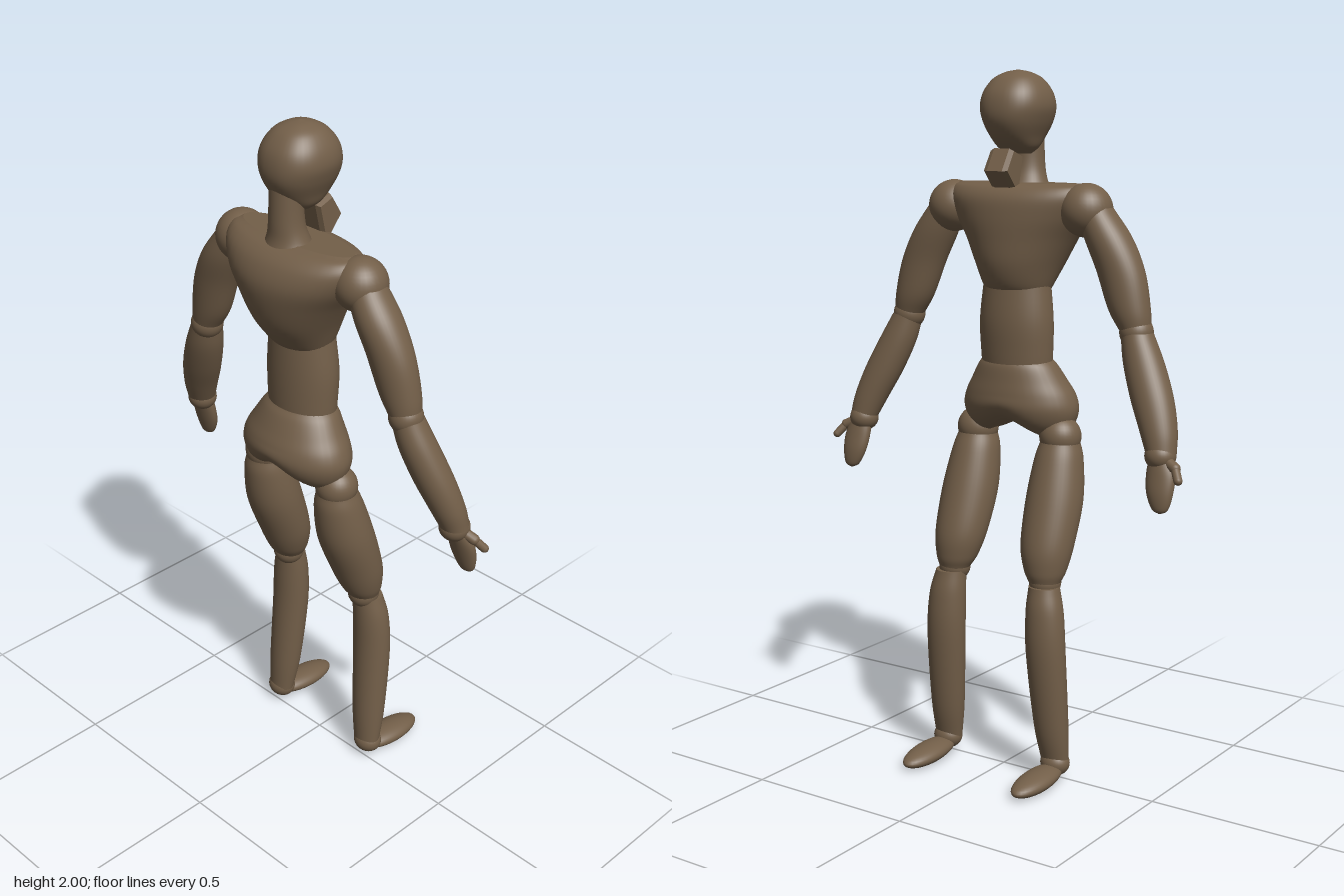
import * as THREE from 'three';

const wood = new THREE.MeshStandardMaterial({ color: 0x735f49 });
wood.name = 'brown wood';

const add = (group, name, geometry) => {
  const mesh = new THREE.Mesh(geometry, wood);
  mesh.name = name;
  group.add(mesh);
  return mesh;
};

// Smooth body through level ellipses, listed upwards as [y, x, z, radiusX, radiusZ]
function loft(rows, power = 2, sides = 40, steps = 6) {
  const curve = (f) => new THREE.CatmullRomCurve3(rows.map(f), false, 'catmullrom');
  const centres = curve(([y, x, z]) => new THREE.Vector3(x, y, z));
  const radii = curve(([, , , rx, rz]) => new THREE.Vector3(rx, 0, rz));
  const n = (rows.length - 1) * steps;
  const pos = [], index = [];
  const ring = (t) => {
    const c = centres.getPoint(t), r = radii.getPoint(t);
    for (let j = 0; j < sides; j++) {
      const a = (j / sides) * Math.PI * 2, u = Math.cos(a), v = Math.sin(a);
      pos.push(
        c.x + r.x * Math.sign(u) * Math.abs(u) ** (2 / power), c.y,
        c.z + r.z * Math.sign(v) * Math.abs(v) ** (2 / power));
    }
  };
  for (let i = 0; i <= n; i++) ring(i / n);
  for (let i = 0; i < n; i++) {
    for (let j = 0; j < sides; j++) {
      const k = (j + 1) % sides, a = i * sides + j, b = i * sides + k;
      index.push(a, a + sides, b, b, a + sides, b + sides);
    }
  }
  // Closed ends with their own vertices
  for (const t of [0, 1]) {
    const start = pos.length / 3;
    ring(t);
    const c = centres.getPoint(t), mid = start + sides;
    pos.push(c.x, c.y, c.z);
    for (let j = 0; j < sides; j++) {
      const a = start + j, b = start + ((j + 1) % sides);
      index.push(mid, t ? b : a, t ? a : b);
    }
  }
  const g = new THREE.BufferGeometry();
  g.setAttribute('position', new THREE.Float32BufferAttribute(pos, 3));
  g.setIndex(index);
  g.computeVertexNormals();
  return g;
}

const ball = (x, y, z, r, ry = r, rz = r) =>
  new THREE.SphereGeometry(1, 32, 20).scale(r, ry, rz).translate(x, y, z);

// Rounded rod between two points
function rod(a, b, r) {
  const d = b.clone().sub(a);
  const g = new THREE.CapsuleGeometry(r, d.length(), 6, 14);
  g.applyQuaternion(new THREE.Quaternion().setFromUnitVectors(
    new THREE.Vector3(0, 1, 0), d.clone().normalize()));
  const m = a.clone().add(b).multiplyScalar(0.5);
  return g.translate(m.x, m.y, m.z);
}

function buildTrunk(root) {
  add(root, 'head', loft([
    [1.772, -0.075, 0, 0.03, 0.035], [1.79, -0.072, 0, 0.055, 0.056],
    [1.82, -0.07, 0, 0.085, 0.07], [1.86, -0.07, 0, 0.106, 0.088],
    [1.90, -0.07, 0, 0.109, 0.098], [1.94, -0.07, 0, 0.098, 0.09],
    [1.975, -0.07, 0, 0.07, 0.066], [1.993, -0.07, 0, 0.036, 0.034],
    [2.0, -0.07, 0, 0.002, 0.002]], 2.3));
  add(root, 'neck', loft([
    [1.66, -0.11, 0, 0.07, 0.08], [1.70, -0.115, 0, 0.053, 0.06],
    [1.75, -0.12, 0, 0.046, 0.049], [1.85, -0.12, 0, 0.044, 0.046]]));

  // Faceted chin block
  const chin = new THREE.Shape([
    [-0.035, 1.765], [-0.018, 1.69], [0, 1.68], [0.04, 1.727], [0.008, 1.78],
  ].map(([x, y]) => new THREE.Vector2(x, y)));
  add(root, 'chin', new THREE.ExtrudeGeometry(chin, {
    depth: 0.05, bevelEnabled: true, bevelSegments: 1, bevelSize: 0.006, bevelThickness: 0.014,
  }).translate(0, 0, -0.025));

  add(root, 'chest', loft([
    [1.375, -0.07, 0, 0.06, 0.09], [1.41, -0.072, 0, 0.09, 0.105],
    [1.47, -0.083, 0, 0.12, 0.132], [1.54, -0.092, 0, 0.133, 0.17],
    [1.60, -0.095, 0, 0.135, 0.21], [1.65, -0.09, 0, 0.122, 0.232],
    [1.68, -0.085, 0, 0.095, 0.225], [1.692, -0.08, 0, 0.06, 0.2]]));
  add(root, 'abdomen', loft([
    [1.15, -0.068, 0, 0.076, 0.106], [1.22, -0.066, 0, 0.08, 0.111],
    [1.31, -0.064, 0, 0.082, 0.113], [1.42, -0.067, 0, 0.076, 0.102]]));

  // Pelvis, with its underside arched between the legs
  const pelvis = loft([
    [0.975, -0.085, 0, 0.045, 0.12], [0.99, -0.086, 0, 0.075, 0.15],
    [1.02, -0.088, 0, 0.103, 0.172], [1.06, -0.088, 0, 0.117, 0.182],
    [1.10, -0.086, 0, 0.114, 0.172], [1.14, -0.08, 0, 0.102, 0.148],
    [1.18, -0.073, 0, 0.088, 0.123], [1.20, -0.07, 0, 0.075, 0.105]]);
  const p = pelvis.attributes.position;
  for (let i = 0; i < p.count; i++) {
    const y = p.getY(i), low = Math.max(0, (1.1 - y) / 0.125);
    p.setY(i, y + 0.045 * low * Math.exp(-((p.getZ(i) / 0.07) ** 2)));
  }
  pelvis.computeVertexNormals();
  add(root, 'pelvis', pelvis);
}

function buildArm(root, s, side) {
  const arm = new THREE.Group();
  arm.name = side + 'Arm';
  root.add(arm);
  add(arm, 'shoulder', ball(-0.074, 1.622, s * 0.222, 0.074));
  add(arm, 'upperArm', loft([
    [1.30, -0.07, s * 0.385, 0.042, 0.043], [1.36, -0.07, s * 0.364, 0.052, 0.06],
    [1.46, -0.075, s * 0.333, 0.058, 0.069], [1.55, -0.078, s * 0.29, 0.062, 0.068],
    [1.63, -0.077, s * 0.245, 0.052, 0.052]]));
  add(arm, 'elbow', ball(-0.07, 1.3, s * 0.387, 0.047));
  add(arm, 'forearm', loft([
    [0.99, 0.0, s * 0.508, 0.04, 0.042], [1.05, -0.015, s * 0.49, 0.048, 0.053],
    [1.13, -0.035, s * 0.458, 0.053, 0.061], [1.22, -0.055, s * 0.42, 0.052, 0.058],
    [1.30, -0.068, s * 0.39, 0.044, 0.045]]));
  add(arm, 'wrist', ball(0.002, 0.985, s * 0.507, 0.043, 0.04));
  add(arm, 'hand', loft([
    [0.836, 0.038, s * 0.528, 0.003, 0.004], [0.848, 0.037, s * 0.527, 0.015, 0.024],
    [0.89, 0.03, s * 0.522, 0.023, 0.039], [0.94, 0.018, s * 0.518, 0.025, 0.042],
    [0.99, 0.005, s * 0.51, 0.025, 0.03]]));
  const [a, b, c] = [[0.01, 0.975, 0.53], [0.02, 0.96, 0.562], [0.04, 0.932, 0.582]]
    .map(([x, y, z]) => new THREE.Vector3(x, y, s * z));
  add(arm, 'thumbBase', rod(a, b, 0.015));
  add(arm, 'thumbTip', rod(b, c, 0.012));
}

function buildLeg(root, s, side) {
  const leg = new THREE.Group();
  leg.name = side + 'Leg';
  root.add(leg);
  add(leg, 'hip', ball(-0.075, 0.985, s * 0.142, 0.06));
  add(leg, 'thigh', loft([
    [0.585, 0.025, s * 0.156, 0.044, 0.046], [0.62, 0.017, s * 0.153, 0.06, 0.062],
    [0.69, 0.0, s * 0.149, 0.075, 0.077], [0.81, -0.04, s * 0.146, 0.082, 0.082],
    [0.92, -0.066, s * 0.143, 0.071, 0.07], [0.975, -0.075, s * 0.142, 0.056, 0.055]]));
  add(leg, 'knee', ball(0.024, 0.585, s * 0.157, 0.046));
  add(leg, 'shin', loft([
    [0.055, 0.015, s * 0.188, 0.032, 0.042], [0.17, 0.028, s * 0.182, 0.044, 0.052],
    [0.38, 0.045, s * 0.174, 0.05, 0.059], [0.5, 0.044, s * 0.169, 0.049, 0.056],
    [0.575, 0.036, s * 0.162, 0.042, 0.045]]));
  add(leg, 'ankle', ball(0.018, 0.052, s * 0.19, 0.039, 0.038, 0.044));
  // Flat foot, tilted slightly down to the toes
  add(leg, 'foot', new THREE.SphereGeometry(1, 36, 20).scale(0.112, 0.027, 0.047)
    .rotateZ(-0.06).translate(0.113, 0.0285, s * 0.19));
}

export function createModel() {
  const root = new THREE.Group();
  root.name = 'jointedFigure';
  buildTrunk(root);
  for (const [s, side] of [[1, 'left'], [-1, 'right']]) {
    buildArm(root, s, side);
    buildLeg(root, s, side);
  }
  return root;
}
